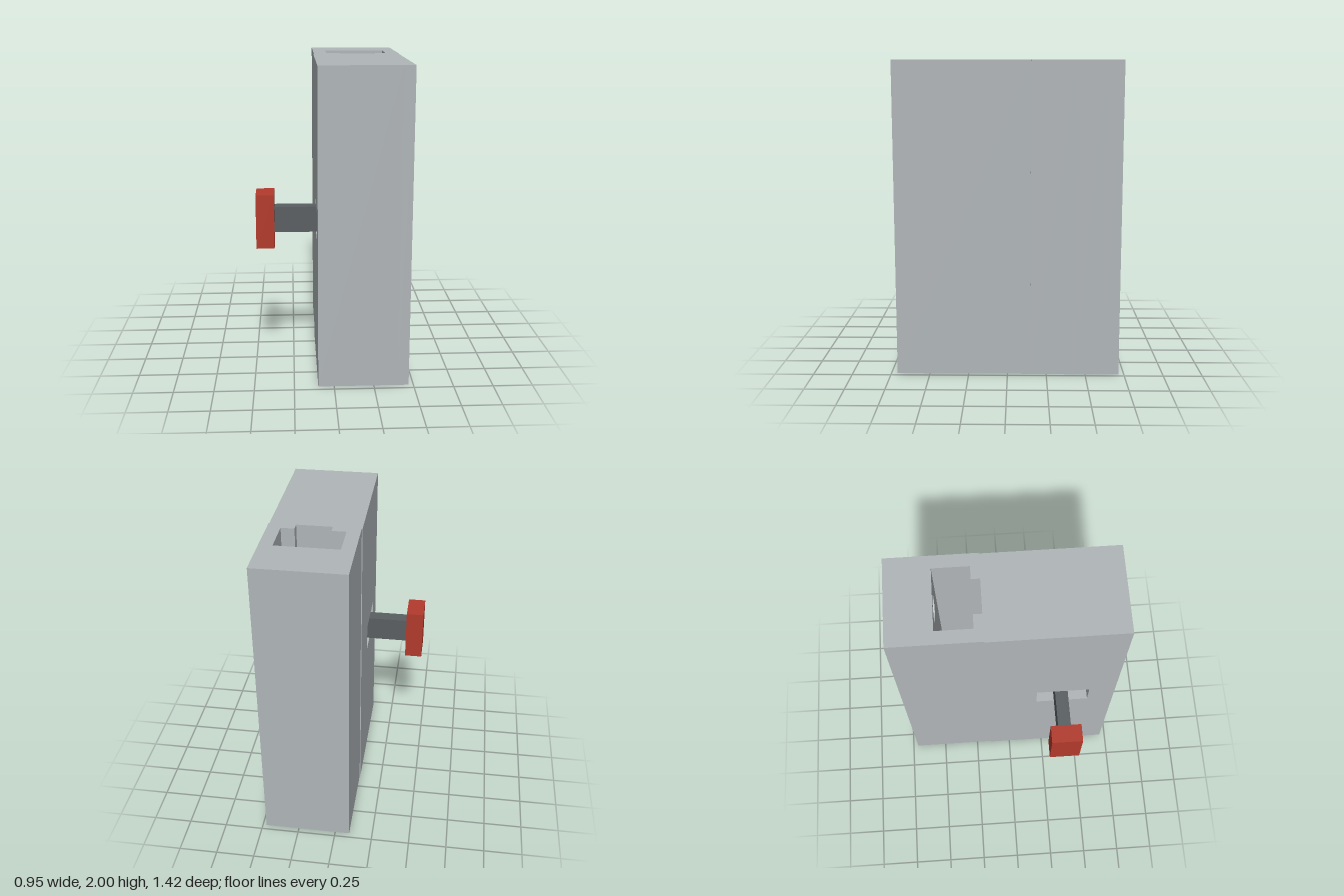
import * as THREE from 'three';

const mat = (name, color) => {
  const m = new THREE.MeshStandardMaterial({ color });
  m.name = name;
  return m;
};

export function createModel() {
  const group = new THREE.Group();
  const grey = mat('light grey', 0xb0b5b8);
  const steel = mat('dark steel', 0x5a5f62);
  const red = mat('red', 0xb23a2c);

  const add = (name, geometry, material) => {
    const mesh = new THREE.Mesh(geometry, material);
    mesh.name = name;
    group.add(mesh);
    return mesh;
  };
  // box given by its limits on each axis
  const block = (name, material, x0, x1, y0, y1, z0, z1) =>
    add(name, new THREE.BoxGeometry(x1 - x0, y1 - y0, z1 - z0), material)
      .position.set((x0 + x1) / 2, (y0 + y1) / 2, (z0 + z1) / 2);
  const rect = (Type, u0, u1, v0, v1) => {
    const s = new Type();
    s.moveTo(u0, v0).lineTo(u1, v0).lineTo(u1, v1).lineTo(u0, v1).closePath();
    return s;
  };
  const extrude = (shape, depth) =>
    new THREE.ExtrudeGeometry(shape, { depth, bevelEnabled: false, curveSegments: 24 });

  // rear housing: solid back plus a wall with a blind round bore
  const L = -0.095, R = 0.475, mid = 0.19;
  block('rearBack', grey, L, R, 0, 2, -0.715, -0.6);
  const wall = rect(THREE.Shape, L, R, 0, 2);
  wall.holes.push(new THREE.Path().absarc(mid, 1.865, 0.085, 0, Math.PI * 2, true));
  add('rearBoredWall', extrude(wall, 0.17), grey).position.z = -0.6;

  // side walls and ledges around the stepped vertical channel
  block('channelWallRight', grey, L, -0.01, 0, 2, -0.43, -0.145);
  block('channelWallLeft', grey, 0.39, R, 0, 2, -0.43, -0.145);
  block('channelLedgeRight', grey, -0.01, 0.08, 0, 2, -0.2, -0.145);
  block('channelLedgeLeft', grey, 0.305, 0.39, 0, 2, -0.2, -0.145);

  // horizontal bolt crossing the channel
  const bolt = add('bolt', new THREE.CylinderGeometry(0.085, 0.085, 0.285, 48), steel);
  bolt.rotation.x = Math.PI / 2;
  bolt.position.set(mid, 1, -0.2875);

  // front housing with a pocket for the handle in its right side
  const side = rect(THREE.Shape, -0.145, 0.71, 0, 2);
  side.holes.push(rect(THREE.Path, 0.185, 0.535, 0.905, 1.087));
  add('frontHousing', extrude(side, 0.5).rotateY(-Math.PI / 2), grey).position.x = 0.4;
  block('frontHousingOuterWall', grey, 0.4, 0.47, 0, 2, -0.145, 0.71);

  // sliding handle
  block('handleShaft', steel, -0.37, 0.25, 0.92, 1.085, 0.305, 0.39);
  block('handleKnob', red, -0.48, -0.365, 0.83, 1.175, 0.25, 0.45);

  return group;
}
